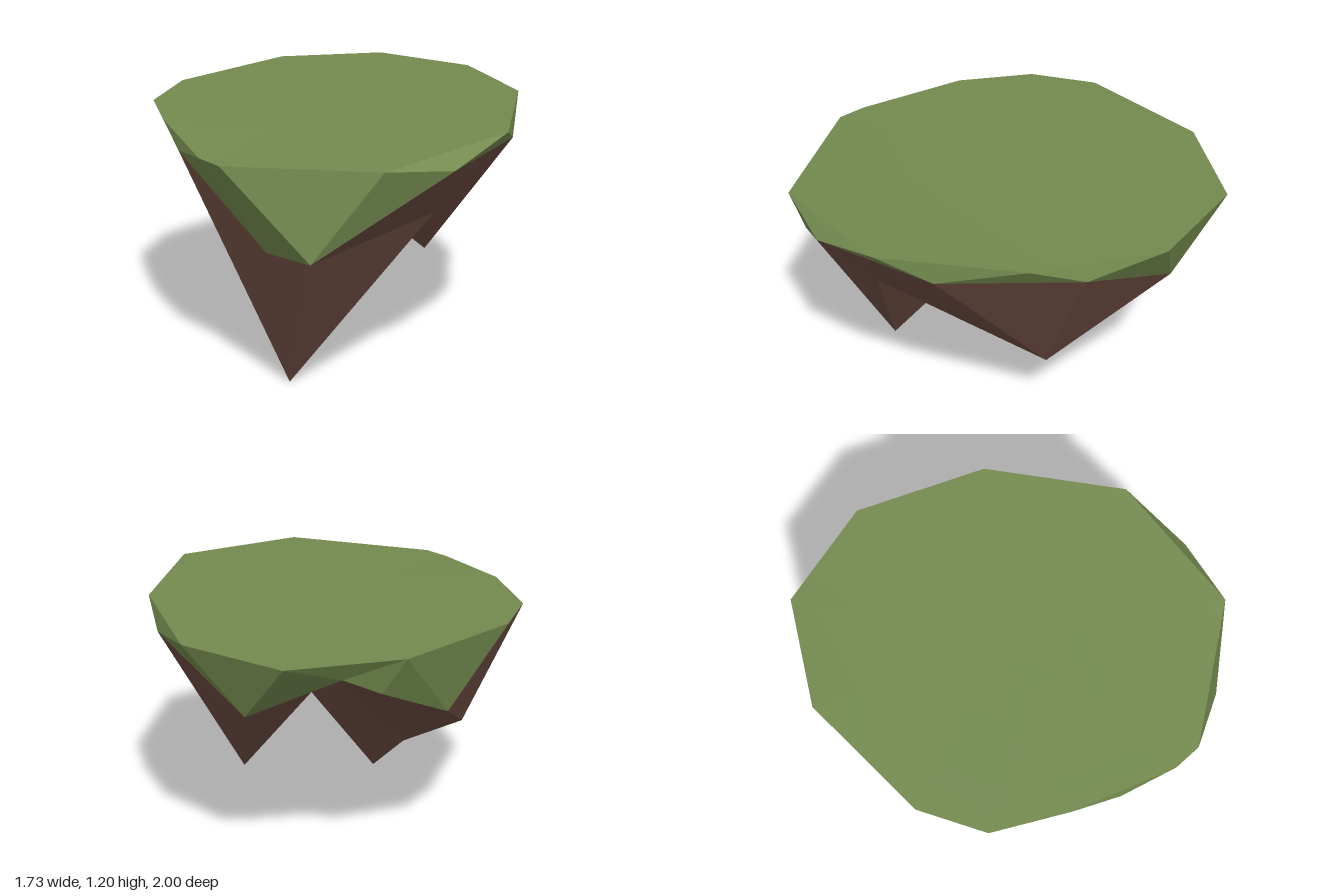
import * as THREE from 'three';

// Corner points, shared by the grass and the rock so the pieces meet exactly
const P = {
  // top rim, clockwise from the back
  T0: [0.05, 1.17, -1], T1: [0.54, 1.175, -0.795], T2: [0.845, 1.2, -0.25], T3: [0.86, 1.19, 0.42],
  T4: [0.405, 1.145, 0.95], T5: [-0.31, 1.12, 0.925], T6: [-0.42, 1.12, 0.84], T7: [-0.71, 1.16, 0.42],
  M: [-0.865, 1.15, 0.08], T9: [-0.82, 1.165, -0.25], T10: [-0.44, 1.175, -0.79],
  // lower edge of the grass
  F1: [0.1, 0.73, 1], L1: [0.67, 1.1, 0.735], L2: [0.86, 1.09, 0.16], L3: [0.74, 1.11, -0.48],
  G1: [0.27, 0.855, -0.79], G3: [-0.17, 1.08, -0.84], V: [-0.33, 1.0, -0.77], G2: [-0.58, 0.8, -0.44],
  K: [-0.58, 1.08, 0.62], F2: [-0.135, 0.7, 0.82],
  // rock peaks and hollows underneath
  A: [-0.08, 0, 0.635], S: [0.41, 0.365, -0.25], B: [-0.61, 0.6, -0.07], C: [-0.28, 0.29, 0.33],
  D: [0.555, 0.83, 0.51], W: [-0.05, 0.97, -0.49], X: [0.01, 0.86, 0.155],
};

// Flat facets from corner names, three per facet
function facets(corners) {
  const pos = corners.match(/[A-Z][0-9]*/g).flatMap((n) => P[n]);
  const g = new THREE.BufferGeometry();
  g.setAttribute('position', new THREE.Float32BufferAttribute(pos, 3));
  g.computeVertexNormals();
  return g;
}

// Nearly level top with smooth normals
function topSurface() {
  const rim = ['T0', 'T1', 'T2', 'T3', 'T4', 'T5', 'T6', 'T7', 'M', 'T9', 'T10'];
  const n = rim.length;
  const pos = [0, 1.16, 0];
  const index = [];
  rim.forEach((name, i) => {
    pos.push(...P[name]);
    index.push(0, 1 + ((i + 1) % n), 1 + i);
  });
  const g = new THREE.BufferGeometry();
  g.setAttribute('position', new THREE.Float32BufferAttribute(pos, 3));
  g.setIndex(index);
  g.computeVertexNormals();
  return g;
}

export function createModel() {
  const group = new THREE.Group();
  group.name = 'floatingIsland';
  const grass = new THREE.MeshStandardMaterial({ color: 0x738a4e });
  grass.name = 'grassGreen';
  const rock = new THREE.MeshStandardMaterial({ color: 0x6b4a40 });
  rock.name = 'earthBrown';

  const add = (name, geometry, material) => {
    const mesh = new THREE.Mesh(geometry, material);
    mesh.name = name;
    group.add(mesh);
  };

  add('grassTop', topSurface(), grass);

  // Grass hanging over the rim, front round to the left
  add('grassEdge', facets(`
    F1 L1 T4  F1 T4 T5  F1 T5 F2  T5 T6 F2  T6 K F2  T6 T7 K  T7 M K
    L1 T3 T4  L1 L2 T3  L2 T2 T3  L2 L3 T2  L3 T1 T2  L3 G1 T1  G1 T0 T1
    G1 G3 T0  G3 T10 T0  G3 V T10  V G2 T10  G2 T9 T10  G2 M T9`), grass);

  // Large front peak and its ridge
  add('mainRock', facets(`
    L1 F1 D  F1 A D  F2 A F1  K A F2  K C A  M C K  M B C  G2 B M  D A C`), rock);

  // Smaller peak
  add('smallRock', facets(`
    W G1 S  G1 L3 S  L3 L2 S  L2 D S  L2 L1 D  W S X  X S D`), rock);

  // Hollow between the peaks
  add('rockHollow', facets(`
    B G2 W  G2 V W  V G3 W  G3 G1 W  D C X  X C W  W C B`), rock);

  return group;
}
